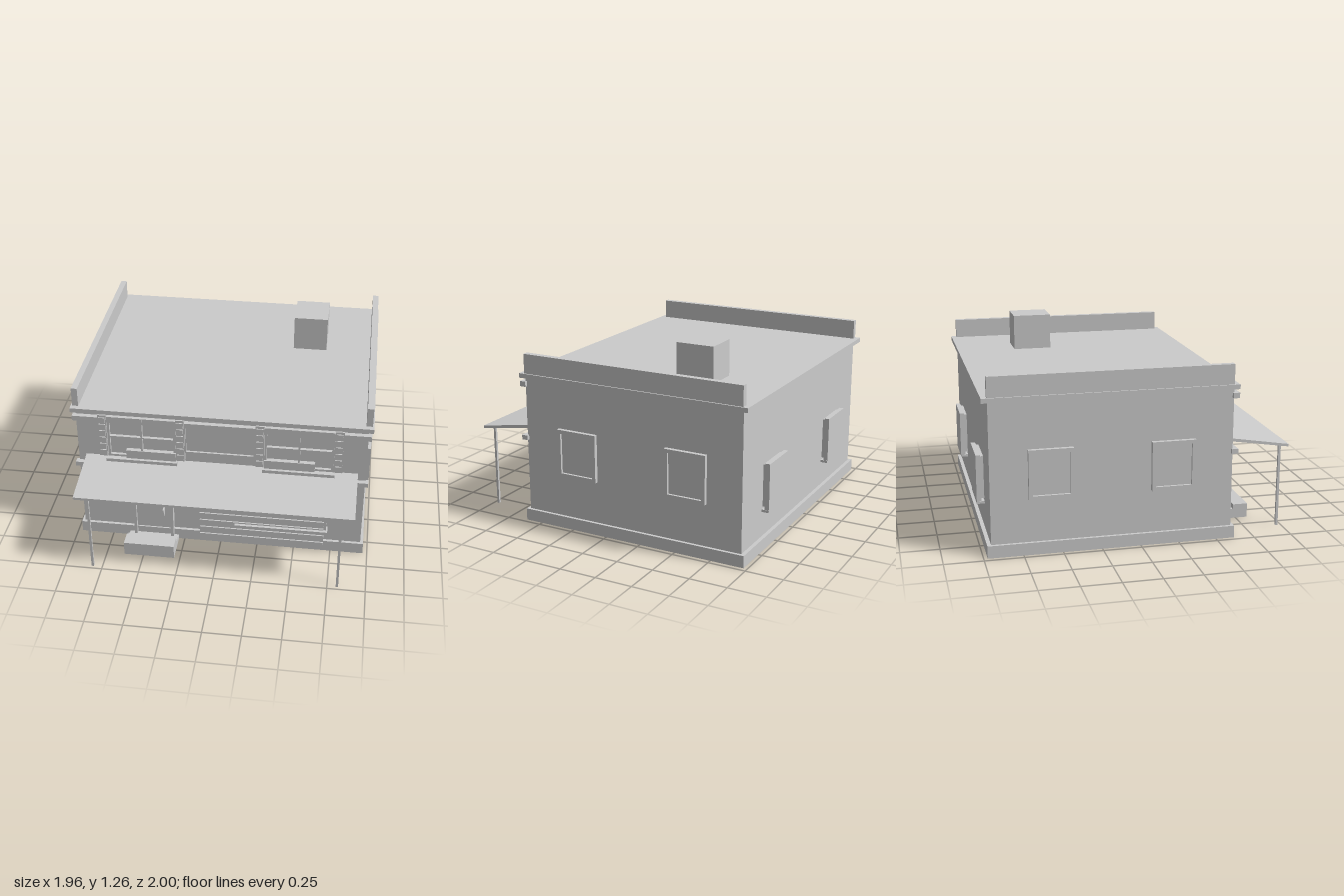
import * as THREE from 'three';

const material = new THREE.MeshStandardMaterial({ color: 0xcccccc, flatShading: true });

export function createModel() {
  const house = new THREE.Group();
  house.name = 'house';

  // Box given by its extents on each axis
  function box(name, x0, x1, y0, y1, z0, z1, parent = house) {
    const mesh = new THREE.Mesh(new THREE.BoxGeometry(x1 - x0, y1 - y0, z1 - z0), material);
    mesh.position.set((x0 + x1) / 2, (y0 + y1) / 2, (z0 + z1) / 2);
    mesh.name = name;
    parent.add(mesh);
    return mesh;
  }

  // Profile in (z, y) extruded along x
  function profile(name, points, x0, x1) {
    const shape = new THREE.Shape(points.map(([z, y]) => new THREE.Vector2(-z, y)));
    const geometry = new THREE.ExtrudeGeometry(shape, { depth: x1 - x0, bevelEnabled: false });
    geometry.rotateY(Math.PI / 2);
    geometry.translate(x0, 0, 0);
    const mesh = new THREE.Mesh(geometry, material);
    mesh.name = name;
    house.add(mesh);
  }

  // Rectangular frame facing +z
  function frame(name, x0, x1, y0, y1, z0, z1, t, parent = house) {
    const g = new THREE.Group();
    g.name = name;
    box('frameLeft', x0, x0 + t, y0, y1, z0, z1, g);
    box('frameRight', x1 - t, x1, y0, y1, z0, z1, g);
    box('frameBottom', x0 + t, x1 - t, y0, y0 + t, z0, z1, g);
    box('frameTop', x0 + t, x1 - t, y1 - t, y1, z0, z1, g);
    parent.add(g);
  }

  // Main volume
  box('walls', -0.95, 0.95, 0.04, 1.0, -0.95, 0.6);
  box('plinth', -0.97, 0.97, 0, 0.08, -0.975, 0.62);
  box('roofSlab', -0.98, 0.98, 0.99, 1.02, -0.99, 0.63);
  box('chimney', 0.395, 0.625, 1.02, 1.26, -0.59, -0.33);
  box('upperBand', -0.97, 0.97, 0.93, 0.965, 0.59, 0.632);
  box('middleBand', -0.97, 0.97, 0.567, 0.598, 0.59, 0.632);

  // Sloped porch roof
  profile('porchRoof', [[0.6, 0.63], [1.0, 0.568], [1.0, 0.585], [0.6, 0.65]], -0.9, 0.9);

  for (const s of [-1, 1]) {
    const c = s * 0.95;
    box('parapet', c - 0.02, c + 0.02, 1.02, 1.15, -0.955, 0.595);
    box('porchPost', s * 0.815 - 0.008, s * 0.815 + 0.008, 0, 0.575, 0.962, 0.978);

    // Upper front window with glazing bars, sill and flower box
    const upper = new THREE.Group();
    upper.name = 'upperWindow';
    house.add(upper);
    const m = s * 0.515;
    frame('windowFrame', m - 0.225, m + 0.225, 0.67, 0.975, 0.6, 0.632, 0.015, upper);
    box('glass', m - 0.21, m + 0.21, 0.68, 0.965, 0.6, 0.612, upper);
    box('mullion', m - 0.006, m + 0.006, 0.68, 0.975, 0.6, 0.636, upper);
    box('crossBar', m - 0.21, m + 0.21, 0.822, 0.83, 0.6, 0.634, upper);
    box('windowSill', m - 0.235, m + 0.235, 0.645, 0.667, 0.6, 0.662, upper);
    const b = s * 0.455;
    box('flowerBox', b - 0.165, b + 0.165, 0.667, 0.728, 0.6, 0.642, upper);

    // Louvred shutters on both sides of the window
    for (const x of [s * 0.77, s * 0.26]) {
      const shutter = new THREE.Group();
      shutter.name = 'shutter';
      house.add(shutter);
      box('shutterPanel', x - 0.028, x + 0.028, 0.672, 0.988, 0.6, 0.638, shutter);
      for (let i = 0; i < 6; i++) {
        const y = 0.682 + i * 0.05;
        box('slat', x - 0.022, x + 0.022, y, y + 0.04, 0.63, 0.646, shutter);
      }
    }

    // Back window
    const k = s * 0.512;
    box('backWindow', k - 0.145, k + 0.145, 0.265, 0.572, -1.0, -0.97);
    box('backWindowReveal', k - 0.13, k + 0.13, 0.28, 0.56, -0.97, -0.945);
    box('backWindowSill', k - 0.148, k + 0.148, 0.25, 0.266, -1.0, -0.945);

    // Side windows, modelled facing +z and turned outwards
    for (const z of [0.21, -0.57]) {
      const win = new THREE.Group();
      win.name = 'sideWindow';
      frame('sideWindowFrame', -0.142, 0.142, -0.16, 0.16, -0.01, 0.027, 0.025, win);
      box('sideWindowGlass', -0.12, 0.12, -0.14, 0.14, -0.01, 0.01, win);
      win.position.set(s * 0.95, 0.52, z);
      win.rotation.y = s * Math.PI / 2;
      house.add(win);
    }
  }

  // Panel between the upper windows
  box('centrePanel', -0.235, 0.232, 0.73, 0.945, 0.6, 0.612);
  frame('centrePanelFrame', -0.235, 0.232, 0.73, 0.965, 0.6, 0.626, 0.012);

  // Front door
  box('door', -0.575, -0.34, 0.09, 0.45, 0.6, 0.622);
  for (const [x0, x1] of [[-0.595, -0.575], [-0.342, -0.322]]) {
    box('doorJamb', x0, x1, 0.03, 0.475, 0.6, 0.645);
  }
  box('doorHead', -0.575, -0.342, 0.45, 0.475, 0.6, 0.645);
  box('doorHandle', -0.39, -0.382, 0.208, 0.265, 0.62, 0.662);

  // Stepped entrance block
  profile('entranceSteps', [[0.62, 0], [0.83, 0], [0.83, 0.096], [0.73, 0.096], [0.73, 0.064],
    [0.68, 0.064], [0.68, 0.032], [0.62, 0.032]], -0.63, -0.29);

  // Wide slatted shutter door with its rail and edge trim
  box('slattedDoorBack', -0.14, 0.7, 0.03, 0.495, 0.6, 0.632);
  for (let i = 0; i < 8; i++) {
    const y = 0.033 + i * 0.058;
    box('doorBoard', -0.14, 0.7, y, y + 0.05, 0.62, 0.645);
  }
  box('rail', 0.1, 0.725, 0.174, 0.19, 0.6, 0.665);
  box('sideTrim', 0.7, 0.715, 0.19, 0.497, 0.6, 0.64);
  box('topTrim', 0.11, 0.715, 0.49, 0.498, 0.6, 0.648);

  return house;
}
